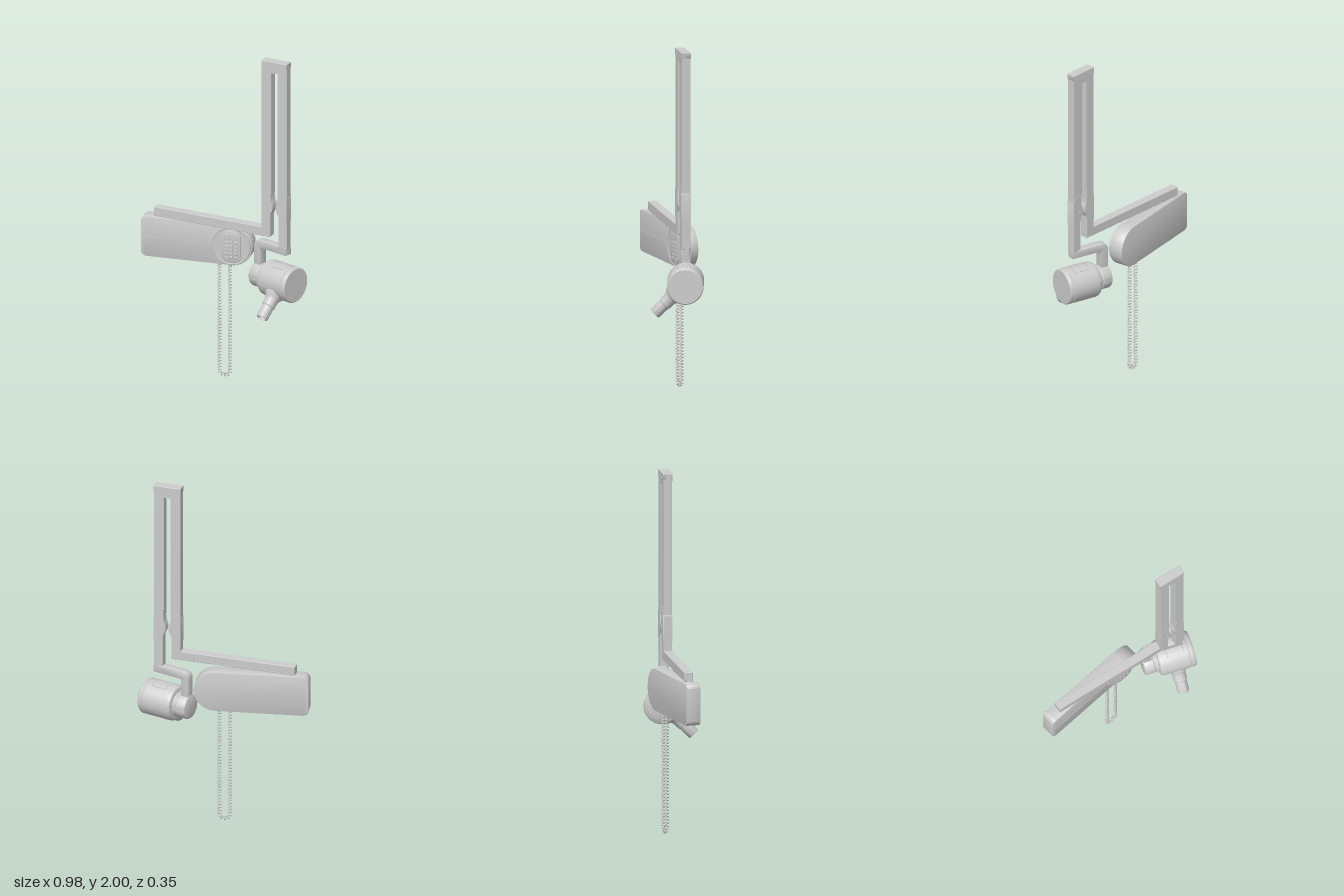
import * as THREE from 'three';
import { toCreasedNormals } from 'three/addons/utils/BufferGeometryUtils.js';
import { RoundedBoxGeometry } from 'three/addons/geometries/RoundedBoxGeometry.js';

const grey = new THREE.MeshStandardMaterial({ color: 0xcccccc, side: THREE.DoubleSide });

function add(parent, name, geometry, x = 0, y = 0, z = 0) {
  const mesh = new THREE.Mesh(geometry, grey);
  mesh.name = name;
  mesh.position.set(x, y, z);
  parent.add(mesh);
  return mesh;
}

function group(parent, name, x = 0, y = 0, z = 0, turn = 0) {
  const g = new THREE.Group();
  g.name = name;
  g.position.set(x, y, z);
  g.rotation.y = turn;
  parent.add(g);
  return g;
}

const box = (w, h, d, r = 0.003) => new RoundedBoxGeometry(w, h, d, 2, r);

function extrude(shape, depth, bevel = 0) {
  const g = new THREE.ExtrudeGeometry(shape, {
    depth: depth - 2 * bevel, curveSegments: 20, bevelEnabled: bevel > 0,
    bevelSize: bevel, bevelOffset: -bevel, bevelThickness: bevel, bevelSegments: 2,
  });
  g.translate(0, 0, bevel);
  return toCreasedNormals(g, 0.6);
}

function lathe(points, segments = 48) {
  const g = new THREE.LatheGeometry(points.map(p => new THREE.Vector2(...p)), segments);
  return toCreasedNormals(g, 0.6);
}

// Disc facing +z
function disc(radius, depth, segments = 40) {
  return new THREE.CylinderGeometry(radius, radius, depth, segments).rotateX(Math.PI / 2);
}

function roundedRect(w, h, r) {
  const s = new THREE.Shape();
  s.absarc(w / 2 - r, h / 2 - r, r, 0, Math.PI / 2);
  s.absarc(-w / 2 + r, h / 2 - r, r, Math.PI / 2, Math.PI);
  s.absarc(-w / 2 + r, -h / 2 + r, r, Math.PI, Math.PI * 1.5);
  s.absarc(w / 2 - r, -h / 2 + r, r, Math.PI * 1.5, Math.PI * 2);
  return s;
}

// Wall-mounted control unit with dial panel
function controlUnit(model) {
  const unit = group(model, 'controlUnit');
  const s = new THREE.Shape();
  s.absarc(0.037, 0.815, 0.12, -Math.PI / 2, Math.PI / 2);
  s.absarc(-0.462, 0.903, 0.032, Math.PI / 2, Math.PI);
  s.absarc(-0.462, 0.727, 0.032, Math.PI, Math.PI * 1.5);
  add(unit, 'housing', extrude(s, 0.08, 0.003), 0, 0, -0.175);
  add(unit, 'frontSeam', new THREE.BoxGeometry(0.4, 0.005, 0.004), -0.275, 0.815, -0.095);
  add(unit, 'dialPlate', disc(0.113, 0.012), 0.037, 0.815, -0.091);
  add(unit, 'dialRim', new THREE.TorusGeometry(0.109, 0.004, 8, 48), 0.037, 0.815, -0.086);
  add(unit, 'keypad', extrude(roundedRect(0.115, 0.2, 0.045), 0.008, 0.002), 0.037, 0.815, -0.086);
  add(unit, 'screen', box(0.09, 0.032, 0.004, 0.001), 0.037, 0.872, -0.078);
  for (let row = 0; row < 5; row++)
    for (let col = -1; col <= 1; col++)
      add(unit, 'button', box(0.018, 0.011, 0.005, 0.002), 0.037 + col * 0.027, 0.838 - row * 0.022, -0.078);
}

// Coiled cord hanging in a loop below the control unit
function coiledCord(model) {
  const cx = -0.013, r = 0.03, low = 0.042, top = 0.69, z = -0.132;
  const straight = top - low, bend = Math.PI * r, total = 2 * straight + bend, turns = 76;
  class Coil extends THREE.Curve {
    getPoint(t, target = new THREE.Vector3()) {
      const d = t * total;
      const a = THREE.MathUtils.clamp((d - straight) / r, 0, Math.PI);
      const y = d < straight ? top - d : d > straight + bend ? low + d - straight - bend : low - r * Math.sin(a);
      const w = t * turns * Math.PI * 2, c = 0.0085 * Math.cos(w);
      return target.set(cx - (r + c) * Math.cos(a), y - c * Math.sin(a), z + 0.0085 * Math.sin(w));
    }
    getPointAt(t, target) { return this.getPoint(t, target); }
    getTangentAt(t, target) { return this.getTangent(t, target); }
  }
  const cord = group(model, 'cord');
  add(cord, 'coil', new THREE.TubeGeometry(new Coil(), turns * 12, 0.0035, 5));
  for (const side of [-1, 1])
    add(cord, 'cordSocket', new THREE.CylinderGeometry(0.013, 0.01, 0.03, 20), cx + side * r, 0.69, z);
}

// Folding arm: horizontal beam and two upright links joined at the top
function foldingArm(model) {
  const arm = group(model, 'foldingArm', 0.325, 0, -0.008, -0.175);
  add(arm, 'horizontalBeam', box(0.725, 0.053, 0.05), -0.392, 0.963, 0);
  add(arm, 'wallPivot', new THREE.CylinderGeometry(0.022, 0.022, 0.02, 28), -0.72, 0.932, 0);

  for (const side of [-1, 1]) {
    const name = side < 0 ? 'right' : 'left';
    const link = group(arm, name + 'Link', -0.003);
    const bottom = side < 0 ? 0.94 : 0.875;
    add(link, 'upperTube', box(0.06, 0.8, 0.05), side * 0.049, 1.592, 0);
    add(link, 'lowerTube', box(0.054, 1.19 - bottom, 0.05), side * 0.052, (1.19 + bottom) / 2, 0);

    // Elbow knuckle with a rounded inner bulge
    const s = new THREE.Shape();
    s.moveTo(side * 0.079, 1.04);
    s.lineTo(side * 0.03, 1.05);
    s.quadraticCurveTo(side * 0.026, 1.075, side * 0.014, 1.095);
    s.quadraticCurveTo(side * 0.004, 1.12, side * 0.014, 1.145);
    s.quadraticCurveTo(side * 0.024, 1.165, side * 0.022, 1.235);
    s.quadraticCurveTo(side * 0.05, 1.25, side * 0.079, 1.195);
    add(link, 'elbow', extrude(s, 0.053), 0, 0, -0.0265);
    add(link, 'elbowPin', disc(0.009, 0.058, 20), side * 0.03, 1.12, 0);
    add(link, 'topPin', disc(0.007, 0.06, 20), side * 0.045, 1.972, 0);
  }

  // Cap joining the two links
  add(arm, 'topCap', box(0.159, 0.012, 0.054), -0.003, 1.994, 0);
  const plate = new THREE.Shape();
  plate.moveTo(-0.079, 1.995);
  plate.lineTo(-0.079, 1.968);
  plate.quadraticCurveTo(-0.06, 1.934, -0.035, 1.934);
  plate.lineTo(0.035, 1.934);
  plate.quadraticCurveTo(0.06, 1.934, 0.079, 1.968);
  plate.lineTo(0.079, 1.995);
  add(arm, 'topPlate', extrude(plate, 0.054), -0.003, 0, -0.027);
}

// X-ray head on its hanging bracket; local x is the head's axis
function xrayHead(model) {
  const head = group(model, 'xrayHead', 0.355, 0.67, -0.01, -0.43);

  const s = new THREE.Shape();
  s.moveTo(0.047, 0.214);
  s.lineTo(-0.145, 0.214);
  s.quadraticCurveTo(-0.185, 0.214, -0.185, 0.174);
  s.lineTo(-0.185, 0);
  s.lineTo(-0.138, 0);
  s.lineTo(-0.138, 0.155);
  s.quadraticCurveTo(-0.138, 0.17, -0.123, 0.17);
  s.lineTo(0.047, 0.17);
  add(head, 'bracket', extrude(s, 0.05, 0.003), 0, 0, -0.025);

  const lieDown = g => g.rotateZ(-Math.PI / 2);
  add(head, 'pivotHousing', lieDown(lathe([
    [0, -0.19], [0.062, -0.19], [0.069, -0.187], [0.072, -0.18], [0.072, -0.132],
    [0.068, -0.128], [0.068, -0.122], [0.072, -0.118], [0.072, -0.09],
  ])));
  add(head, 'tubeHousing', lieDown(lathe([
    [0, -0.107], [0.085, -0.107], [0.095, -0.103], [0.101, -0.094], [0.103, -0.084],
    [0.103, 0.07], [0.1, 0.072], [0.1, 0.076], [0.103, 0.078],
    [0.103, 0.096], [0.101, 0.101], [0.097, 0.104], [0, 0.104],
  ], 64)));

  // Curved strips framing the label areas above and below
  for (const start of [-0.45, Math.PI - 0.45]) {
    const frame = group(head, 'labelFrame');
    frame.rotation.x = start;
    for (const x of [-0.05, 0.045])
      add(frame, 'labelEdge', new THREE.TorusGeometry(0.103, 0.002, 6, 16, 0.9)
        .rotateZ(Math.PI / 2).rotateY(Math.PI / 2), x);
    for (const a of [0, -0.9]) {
      const edge = group(frame, 'labelSide');
      edge.rotation.x = -a;
      add(edge, 'labelEdge', new THREE.BoxGeometry(0.097, 0.004, 0.004), -0.0025, 0.103, 0);
    }
  }

  // Beam cone pointing forward and down
  const cone = add(head, 'beamCone', lathe([
    [0.062, 0.075], [0.056, 0.098], [0.044, 0.112], [0.039, 0.125], [0.038, 0.165],
    [0.034, 0.169], [0.034, 0.238], [0.031, 0.244], [0.026, 0.244], [0.026, 0.225], [0, 0.225],
  ], 36));
  cone.rotation.x = Math.PI * 0.75;
}

export function createModel() {
  const model = new THREE.Group();
  model.name = 'wallMountedXrayUnit';
  controlUnit(model);
  coiledCord(model);
  foldingArm(model);
  xrayHead(model);
  return model;
}
